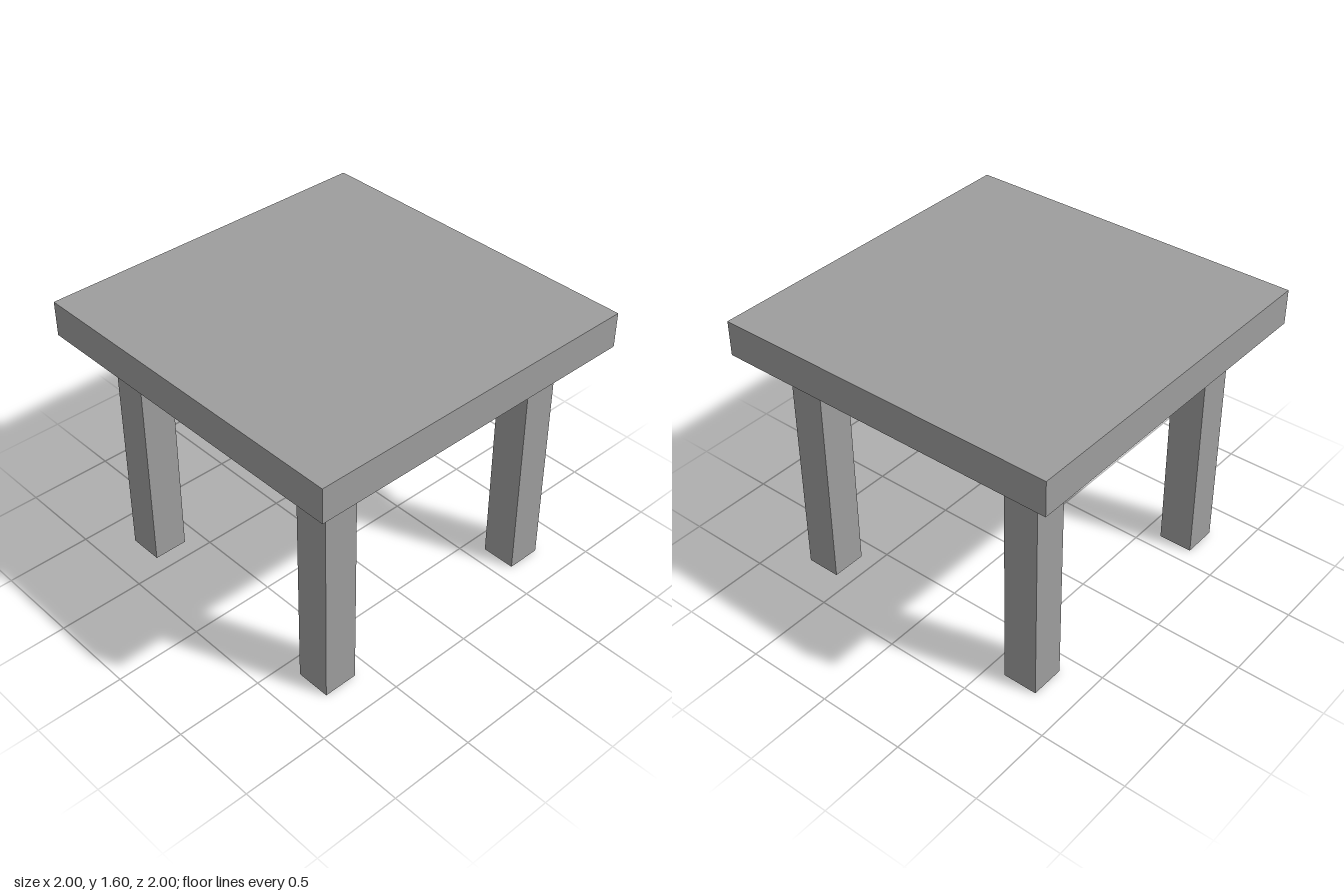
import * as THREE from 'three';

const material = new THREE.MeshStandardMaterial({ color: 0x9e9e9e, flatShading: true });

const LEG_HEIGHT = 1.4;
const LEG_WIDTH = 0.2;
const LEG_OFFSET = 0.7;
const TOP_SIZE = 2;
const TOP_THICKNESS = 0.2;

// Box whose underside sits at height y
function addBox(parent, name, [w, h, d], [x, y, z]) {
  const mesh = new THREE.Mesh(new THREE.BoxGeometry(w, h, d), material);
  mesh.name = name;
  mesh.position.set(x, y + h / 2, z);
  parent.add(mesh);
}

export function createModel() {
  const table = new THREE.Group();
  table.name = 'table';

  // Square slab top
  addBox(table, 'tableTop', [TOP_SIZE, TOP_THICKNESS, TOP_SIZE], [0, LEG_HEIGHT, 0]);

  // Four square legs, inset from the corners
  for (const [end, sz] of [['front', 1], ['back', -1]]) {
    for (const [side, sx] of [['Left', 1], ['Right', -1]]) {
      addBox(table, `${end}${side}Leg`, [LEG_WIDTH, LEG_HEIGHT, LEG_WIDTH],
        [sx * LEG_OFFSET, 0, sz * LEG_OFFSET]);
    }
  }

  return table;
}
